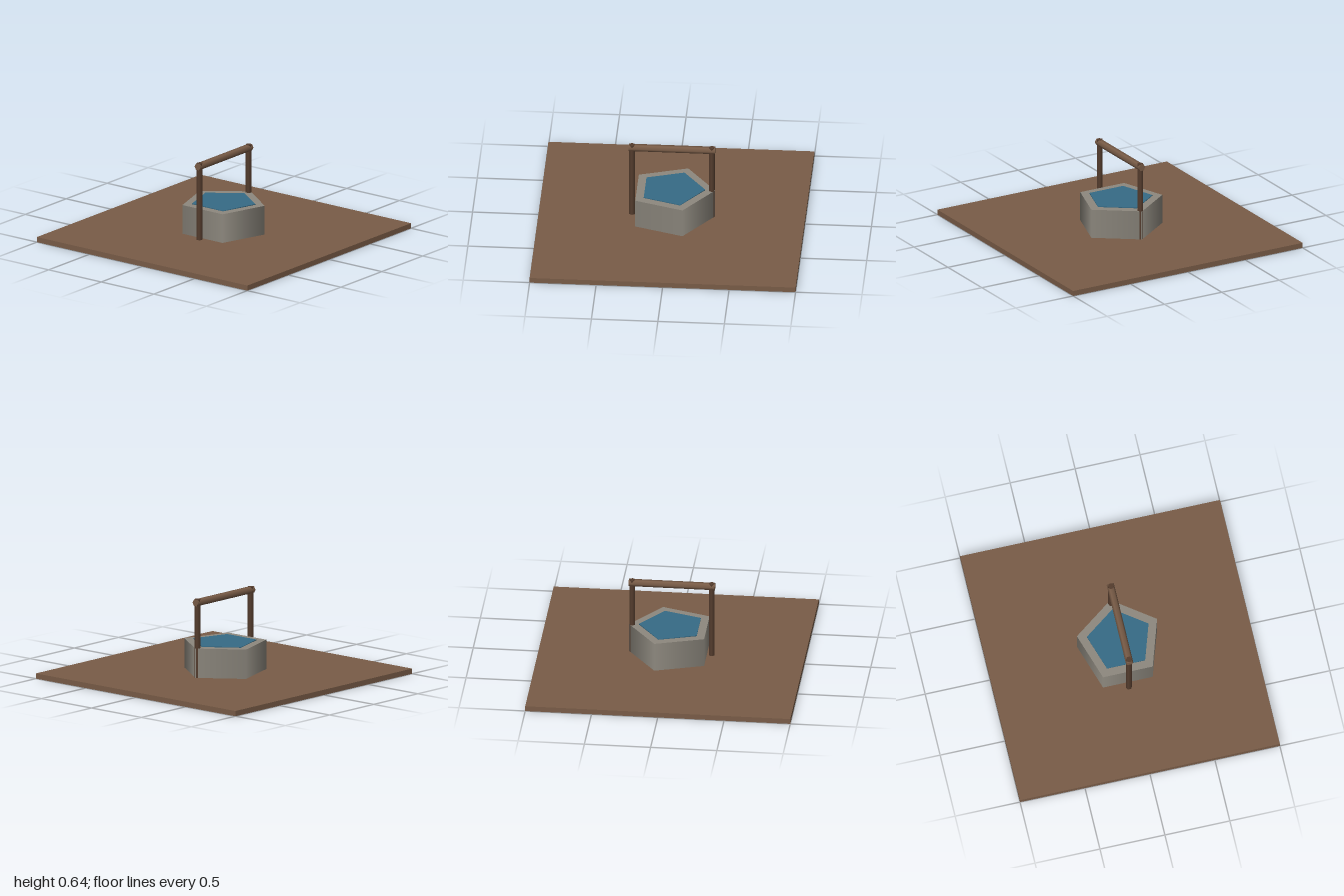
import * as THREE from 'three';

const paint = (name, color) => {
  const m = new THREE.MeshStandardMaterial({ color });
  m.name = name;
  return m;
};

export function createModel() {
  const earth = paint('earth brown', 0x795c47);
  const darkWood = paint('dark wood', 0x553d2e);
  const stone = paint('stone grey', 0x8e897f);
  const waterBlue = paint('water blue', 0x366b86);

  const group = new THREE.Group();
  const add = (name, geometry, material, x, y, z) => {
    const mesh = new THREE.Mesh(geometry, material);
    mesh.name = name;
    mesh.position.set(x, y, z);
    group.add(mesh);
    return mesh;
  };
  // five-sided prism with one corner pointing to +x
  const pentagon = (r, h) => new THREE.CylinderGeometry(r, r, h, 5, 1, false, Math.PI / 2);

  // square slab of ground
  add('ground', new THREE.BoxGeometry(2, 0.04, 2), earth, 0, 0.02, 0);

  // stone wall of the well, with the water lying just above its rim
  add('wellWall', pentagon(0.325, 0.225), stone, 0, 0.1525, 0);
  add('water', pentagon(0.25, 0.009), waterBlue, 0, 0.2655, 0);

  // six-sided posts on both sides
  for (const side of [-1, 1]) {
    add(side > 0 ? 'leftPost' : 'rightPost',
      new THREE.CylinderGeometry(0.024, 0.024, 0.6, 6), darkWood, side * 0.3, 0.34, 0);
  }

  // crossbar lying along x
  const bar = new THREE.CylinderGeometry(0.028, 0.028, 0.65, 6).rotateZ(Math.PI / 2);
  add('crossbar', bar, earth, 0, 0.615, 0);

  return group;
}
